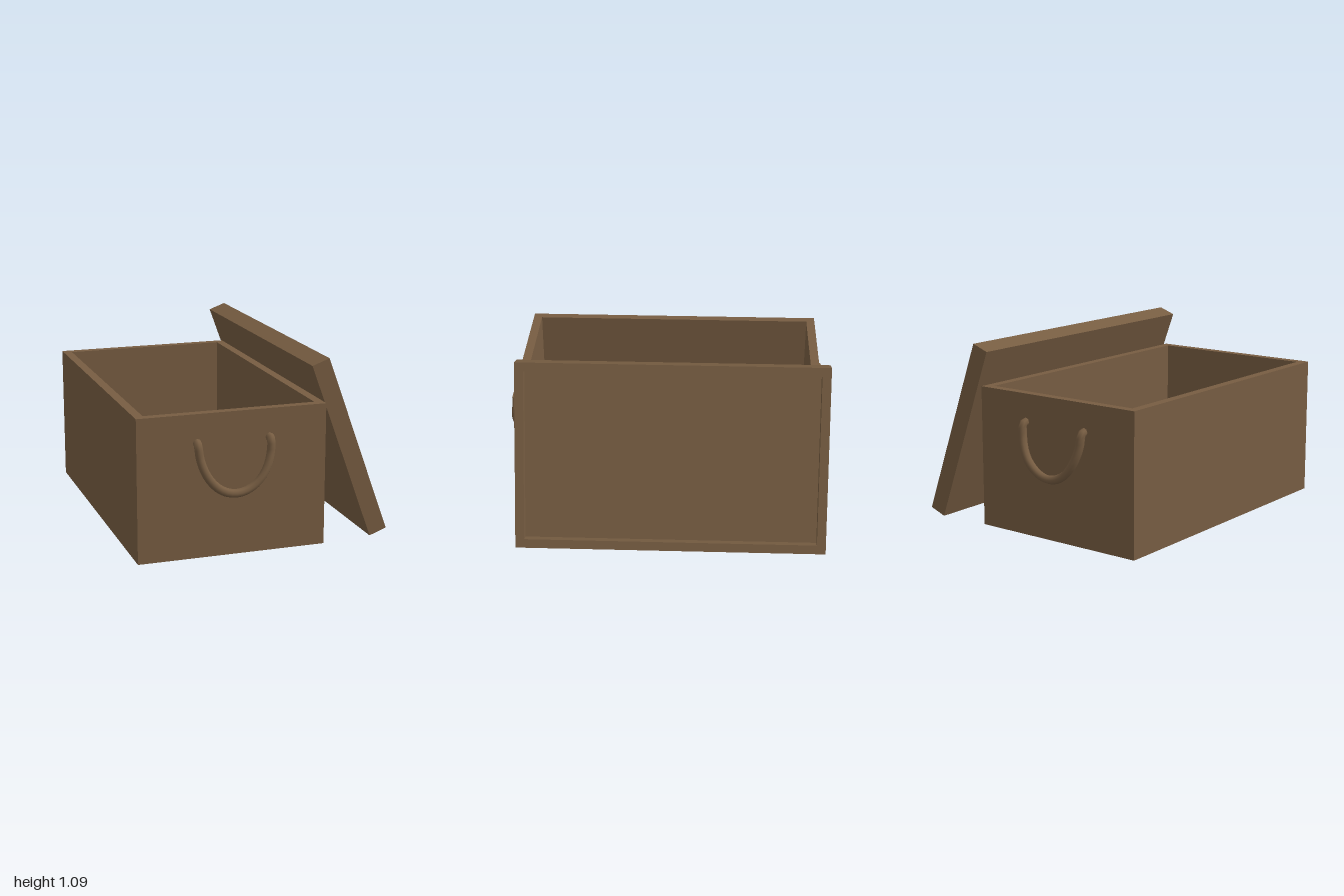
import * as THREE from 'three';

// Open tray as one clean shell: rectangular rings from the outer base, over the rim, to the inner floor
function trayGeometry(width, height, length, wall, floor) {
  const ring = (inset, y) => {
    const x = width / 2 - inset, z = length / 2 - inset;
    return [[-x, y, z], [x, y, z], [x, y, -z], [-x, y, -z]];
  };
  const rings = [ring(0, 0), ring(0, height), ring(wall, height), ring(wall, floor)];
  const positions = [];
  const quad = (a, b, c, d) => positions.push(...a, ...b, ...c, ...a, ...c, ...d);
  for (let r = 0; r < 3; r++) {
    for (let i = 0; i < 4; i++) {
      const j = (i + 1) % 4;
      quad(rings[r][i], rings[r][j], rings[r + 1][j], rings[r + 1][i]);
    }
  }
  quad(...rings[3]);
  quad(...[...rings[0]].reverse());
  const geometry = new THREE.BufferGeometry();
  geometry.setAttribute('position', new THREE.Float32BufferAttribute(positions, 3));
  geometry.computeVertexNormals();
  return geometry;
}

// Drooping U-shaped rope, bent outwards from the wall
function handleGeometry() {
  const points = [];
  const steps = 12;
  for (let i = 0; i <= steps; i++) {
    const a = Math.PI * i / steps;
    const drop = Math.sin(a);
    points.push(new THREE.Vector3(-0.215 * Math.cos(a), 0.665 - 0.287 * drop, 0.945 + 0.03 * Math.min(1, drop * 1.6)));
  }
  // both ends turn into the wall
  points.unshift(new THREE.Vector3(-0.213, 0.677, 0.91));
  points.push(new THREE.Vector3(0.213, 0.677, 0.91));
  return new THREE.TubeGeometry(new THREE.CatmullRomCurve3(points), 28, 0.025, 8);
}

export function createModel() {
  const model = new THREE.Group();
  const brown = new THREE.MeshStandardMaterial({ color: 0x775d42 });
  brown.name = 'brown cardboard';

  const add = (name, geometry) => {
    const mesh = new THREE.Mesh(geometry, brown);
    mesh.name = name;
    model.add(mesh);
    return mesh;
  };

  // Open box
  add('box', trayGeometry(1.117, 0.84, 1.846, 0.053, 0.05)).position.x = -0.207;

  // Lid leaning against the side, hollow side facing out
  const lid = add('lid', trayGeometry(1.119, 0.11, 1.85, 0.053, 0.05));
  lid.position.set(0.466, 0.529, -0.03);
  lid.rotation.z = -THREE.MathUtils.degToRad(70);

  // Handles on the front and back walls
  const handle = handleGeometry();
  ['frontHandle', 'backHandle'].forEach((name, i) => {
    const mesh = add(name, handle);
    mesh.position.x = -0.203;
    mesh.rotation.y = i * Math.PI;
  });
  return model;
}
